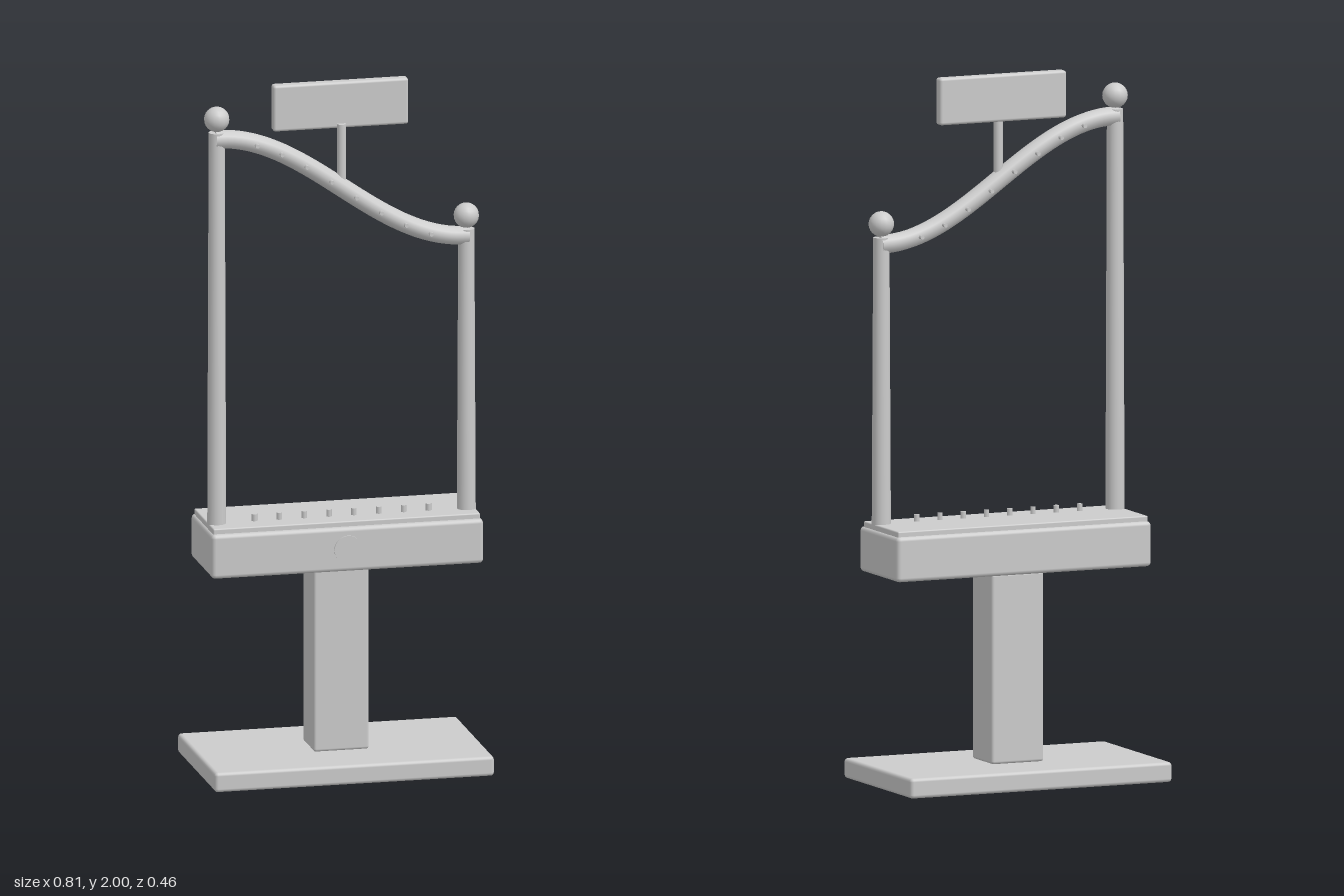
import * as THREE from 'three';
import { RoundedBoxGeometry } from 'three/addons/geometries/RoundedBoxGeometry.js';

const material = new THREE.MeshStandardMaterial({ color: 0xcccccc });
const Z = 0.067; // plane of the posts, rail and pegs

function add(parent, name, geometry, x, y, z) {
  const mesh = new THREE.Mesh(geometry, material);
  mesh.name = name;
  mesh.position.set(x, y, z);
  parent.add(mesh);
  return mesh;
}

// Rounded box given by its lower and upper limits
function box(parent, name, [x0, x1], [y0, y1], [z0, z1], radius) {
  const geometry = new RoundedBoxGeometry(x1 - x0, y1 - y0, z1 - z0, 2, radius);
  return add(parent, name, geometry, (x0 + x1) / 2, (y0 + y1) / 2, (z0 + z1) / 2);
}

// Upright cylinder between two heights
function rod(parent, name, x, y0, y1, rTop, rBottom, sides = 16) {
  return add(parent, name, new THREE.CylinderGeometry(rTop, rBottom, y1 - y0, sides), x, (y0 + y1) / 2, Z);
}

// Height of the wavy rail: half a sine wave falling from right to left
const railHeight = (x) => 1.696 - 0.161 * Math.sin((x / 0.36) * Math.PI / 2);

export function createModel() {
  const model = new THREE.Group();
  model.name = 'stand';

  // Foot, column and body
  box(model, 'basePlate', [-0.403, 0.403], [0.003, 0.06], [-0.23, 0.23], 0.01);
  box(model, 'column', [-0.08, 0.08], [0.06, 0.6], [-0.068, 0.068], 0.008);
  box(model, 'body', [-0.392, 0.392], [0.6, 0.728], [-0.114, 0.147], 0.012);
  box(model, 'deck', [-0.385, 0.385], [0.722, 0.743], [-0.103, 0.133], 0.004);

  // Round plate on the front of the body
  const plate = add(model, 'frontPlate', new THREE.CylinderGeometry(0.04, 0.04, 0.01, 24), 0, 0.665, 0.146);
  plate.rotation.x = Math.PI / 2;

  // Posts with ball finials
  for (const [side, x] of [['right', -0.36], ['left', 0.36]]) {
    const top = railHeight(x);
    rod(model, side + 'Post', x, 0.735, top + 0.02, 0.023, 0.027);
    add(model, side + 'Finial', new THREE.SphereGeometry(0.036, 16, 12), x, top + 0.058, Z);
  }

  // Wavy rail with flat ends
  const points = [];
  for (let i = 0; i <= 16; i++) {
    const x = -0.365 + (0.73 * i) / 16;
    points.push(new THREE.Vector3(x, railHeight(x), Z));
  }
  const curve = new THREE.CatmullRomCurve3(points);
  add(model, 'rail', new THREE.TubeGeometry(curve, 48, 0.027, 12), 0, 0, 0);
  for (const end of [0, 1]) {
    const cap = add(model, 'railEnd', new THREE.CircleGeometry(0.027, 12), 0, 0, 0);
    cap.position.copy(points[end * 16]);
    cap.rotation.y = end ? Math.PI / 2 : -Math.PI / 2;
  }

  // Pegs through the rail and matching pegs on the deck
  const pegs = new THREE.Group();
  pegs.name = 'pegs';
  model.add(pegs);
  for (let i = 0; i < 8; i++) {
    const x = (i - 3.5) * 0.0717;
    const peg = add(pegs, 'railPeg', new THREE.CylinderGeometry(0.006, 0.006, 0.08, 8), x, railHeight(x), Z);
    peg.rotation.x = Math.PI / 2;
    rod(pegs, 'deckPeg', x, 0.735, 0.763, 0.008, 0.008, 8);
  }

  // Sign on its stem
  rod(model, 'signStem', 0, 1.7, 1.88, 0.013, 0.013, 12);
  box(model, 'signBoard', [-0.195, 0.195], [1.866, 2], [0.03, 0.063], 0.008);

  return model;
}
